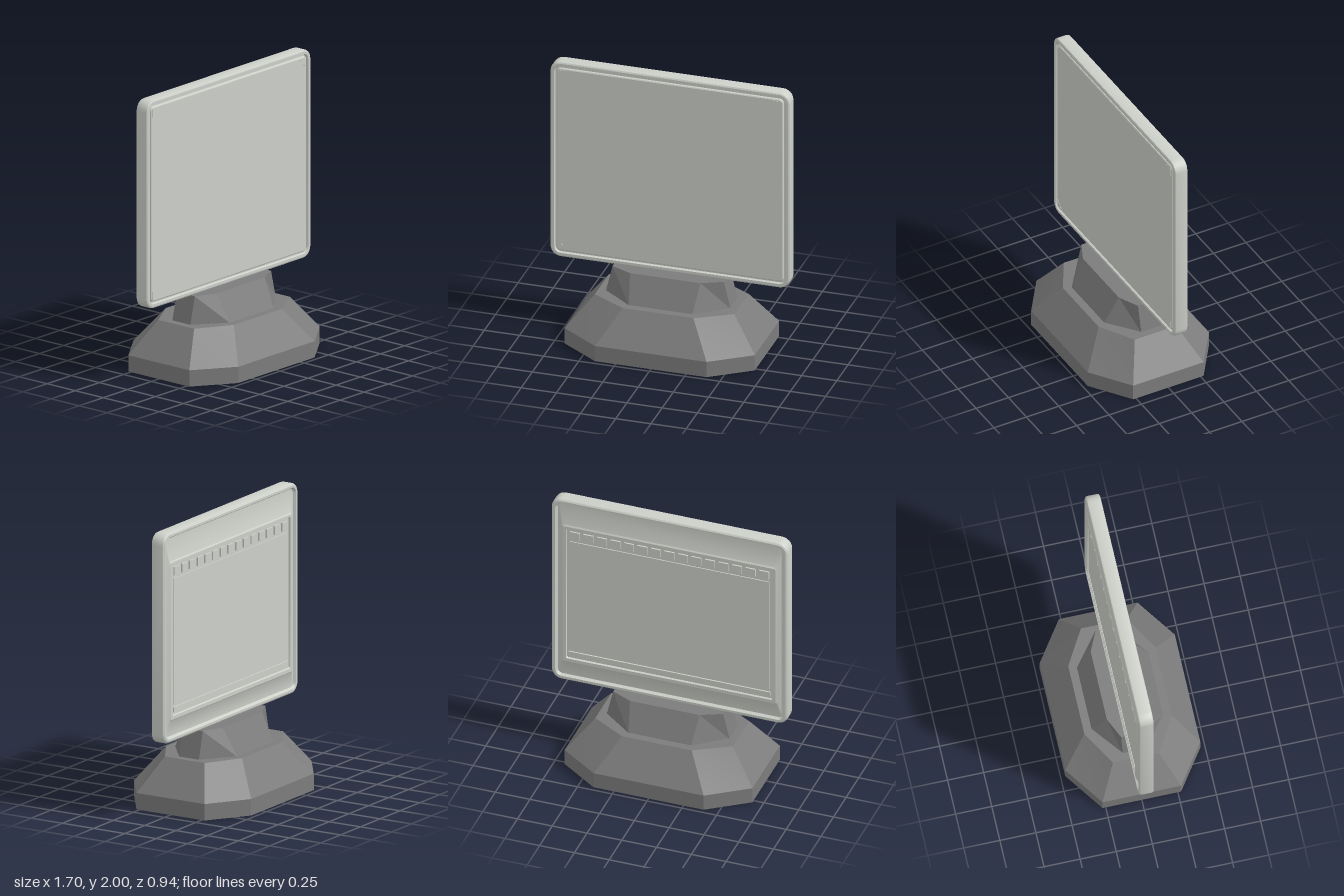
import * as THREE from 'three';
import { toCreasedNormals } from 'three/addons/utils/BufferGeometryUtils.js';

// Skins a list of loops (counter-clockwise, running from +z to -z) and caps both ends.
function loft(loops, crease) {
  const pos = [];
  const n = loops[0].length;
  const tri = (...pts) => pts.forEach(p => pos.push(p.x, p.y, p.z));
  const centre = l => l.reduce((s, p) => s.add(p), new THREE.Vector3()).divideScalar(n);
  const first = loops[0], last = loops[loops.length - 1];
  const c0 = centre(first), c1 = centre(last);
  for (let j = 0; j < n; j++) {
    const k = (j + 1) % n;
    for (let i = 0; i < loops.length - 1; i++) {
      const a = loops[i], b = loops[i + 1];
      tri(a[j], b[j], b[k]);
      tri(a[j], b[k], a[k]);
    }
    tri(c0, first[j], first[k]);
    tri(c1, last[k], last[j]);
  }
  const g = new THREE.BufferGeometry();
  g.setAttribute('position', new THREE.Float32BufferAttribute(pos, 3));
  return toCreasedNormals(g, crease);
}

// Rounded rectangle, six segments per corner
function roundRect(hx, y0, y1, r, z) {
  const pts = [];
  [[1, y1], [-1, y1], [-1, y0], [1, y0]].forEach(([sx, y], q) => {
    const cx = sx * (hx - r), cy = y === y1 ? y1 - r : y0 + r;
    for (let i = 0; i <= 6; i++) {
      const a = (q + i / 6) * Math.PI / 2;
      pts.push(new THREE.Vector3(cx + r * Math.cos(a), cy + r * Math.sin(a), z));
    }
  });
  return pts;
}

// Octagon with half sizes hx, hz; cx, cz are where the cut corners start
function octagon(hx, hz, cx, cz, height) {
  return [[hx, -cz], [hx, cz], [cx, hz], [-cx, hz], [-hx, cz], [-hx, -cz], [-cx, -hz], [cx, -hz]]
    .map(([x, y]) => new THREE.Vector3(x, y, height));
}

export function createModel() {
  const group = new THREE.Group();
  const light = new THREE.MeshStandardMaterial({ color: 0xcdd0c9 });
  light.name = 'pale grey plastic';
  const dark = new THREE.MeshStandardMaterial({ color: 0x7c7c7c });
  dark.name = 'dark grey plastic';

  const add = (name, geometry, material, x = 0, y = 0, z = 0) => {
    const mesh = new THREE.Mesh(geometry, material);
    mesh.name = name;
    mesh.position.set(x, y, z);
    group.add(mesh);
    return mesh;
  };

  // Display housing: front panel, groove, rounded rim, back bezel and screen recess
  const inset = (d, z) => roundRect(0.85 - d, 0.53 + d, 2 - d, Math.max(0.075 - d, 0.015), z);
  add('displayHousing', loft([
    inset(0.055, 0.044),
    inset(0.048, 0.04),
    inset(0.045, 0.03),
    inset(0.036, 0.03),
    inset(0.03, 0.045),
    inset(0.012, 0.045),
    inset(0.003, 0.04),
    inset(0, 0.03),
    inset(0, -0.04),
    inset(0.004, -0.05),
    inset(0.014, -0.057),
    inset(0.03, -0.057),
    inset(0.042, -0.038),
    inset(0.05, -0.038),
    roundRect(0.775, 0.68, 1.80, 0.02, -0.054),
    roundRect(0.765, 0.69, 1.79, 0.015, -0.061),
    roundRect(0.742, 0.715, 1.775, 0.01, -0.061),
    roundRect(0.738, 0.72, 1.77, 0.01, -0.048),
  ], 0.5), light);

  // Screen and lower ledge inside the recess
  add('screen', new THREE.BoxGeometry(1.43, 0.88, 0.008), light, 0, 1.23, -0.051);
  add('lowerLedge', new THREE.BoxGeometry(1.45, 0.035, 0.012), light, 0, 0.755, -0.052);

  // Row of buttons above the screen
  const buttons = 15;
  const buttonShape = new THREE.BoxGeometry(0.07, 0.06, 0.012);
  for (let i = 0; i < buttons; i++) {
    add('button', buttonShape, light, (i / (buttons - 1) - 0.5) * 1.36, 1.722, -0.053);
  }

  // Small triangular corner pieces on the front panel
  const corner = new THREE.Shape([[0, 0], [0.06, 0], [0, 0.06]].map(p => new THREE.Vector2(...p)));
  const cornerShape = new THREE.ExtrudeGeometry(corner, { depth: 0.003, bevelEnabled: false });
  [[-0.79, 0.59, 0], [0.79, 0.59, 1], [0.79, 1.94, 2], [-0.79, 1.94, 3]].forEach(([x, y, q]) => {
    add('frontCorner', cornerShape, light, x, y, 0.0425).rotation.z = q * Math.PI / 2;
  });

  // Stand: faceted neck on a wider faceted foot
  const standPart = loops => loft(loops, 0.1).rotateX(-Math.PI / 2);
  add('neck', standPart([
    octagon(0.395, 0.147, 0.25, 0.08, 0.535),
    octagon(0.442, 0.25, 0.225, 0.08, 0.34),
  ]), dark);
  add('foot', standPart([
    octagon(0.495, 0.303, 0.25, 0.16, 0.345),
    octagon(0.675, 0.468, 0.395, 0.272, 0.115),
    octagon(0.675, 0.468, 0.395, 0.272, 0),
  ]), dark);

  return group;
}
